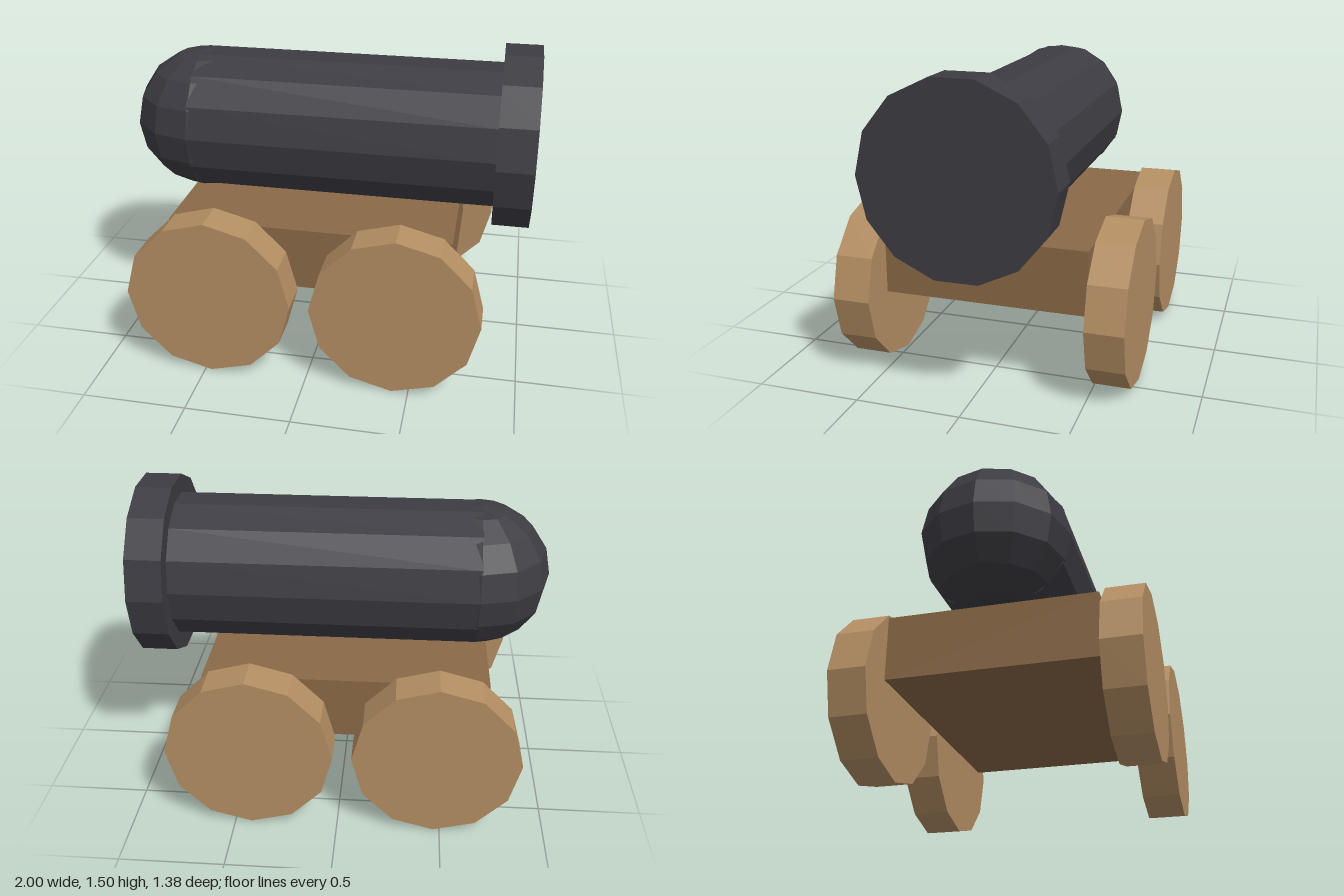
import * as THREE from 'three';

const flat = (name, color) => {
  const m = new THREE.MeshStandardMaterial({ color, flatShading: true });
  m.name = name;
  return m;
};

export function createModel() {
  const group = new THREE.Group();
  group.name = 'cannon';

  const iron = flat('darkIron', 0x3d3c42);
  const darkWood = flat('darkWood', 0x8a6946);
  const lightWood = flat('lightWood', 0xb48e63);

  const add = (name, geometry, material, x, y, z) => {
    const mesh = new THREE.Mesh(geometry, material);
    mesh.name = name;
    mesh.position.set(x, y, z);
    group.add(mesh);
    return mesh;
  };

  // Carriage block
  add('carriage', new THREE.BoxGeometry(1.37, 0.31, 0.98), darkWood, -0.025, 0.555, 0);

  // Four solid wheels, axles along z
  const wheel = new THREE.CylinderGeometry(0.4, 0.4, 0.18, 12).rotateX(Math.PI / 2);
  for (const [end, x] of [['rear', -0.47], ['front', 0.42]]) {
    for (const [side, z] of [['Near', 0.6], ['Far', -0.6]]) {
      add(`${end}Wheel${side}`, wheel, lightWood, x, 0.4, z);
    }
  }

  // Barrel along x, with a muzzle ring and a rounded breech
  const axisY = 1.07;
  const tube = (r, length) => new THREE.CylinderGeometry(r, r, length, 14).rotateZ(Math.PI / 2);
  add('barrel', tube(0.355, 1.48), iron, 0.09, axisY, 0);
  add('muzzleRing', tube(0.445, 0.175), iron, 0.9125, axisY, 0);
  add('breech', new THREE.SphereGeometry(0.355, 12, 8), iron, -0.645, axisY, 0);

  return group;
}
